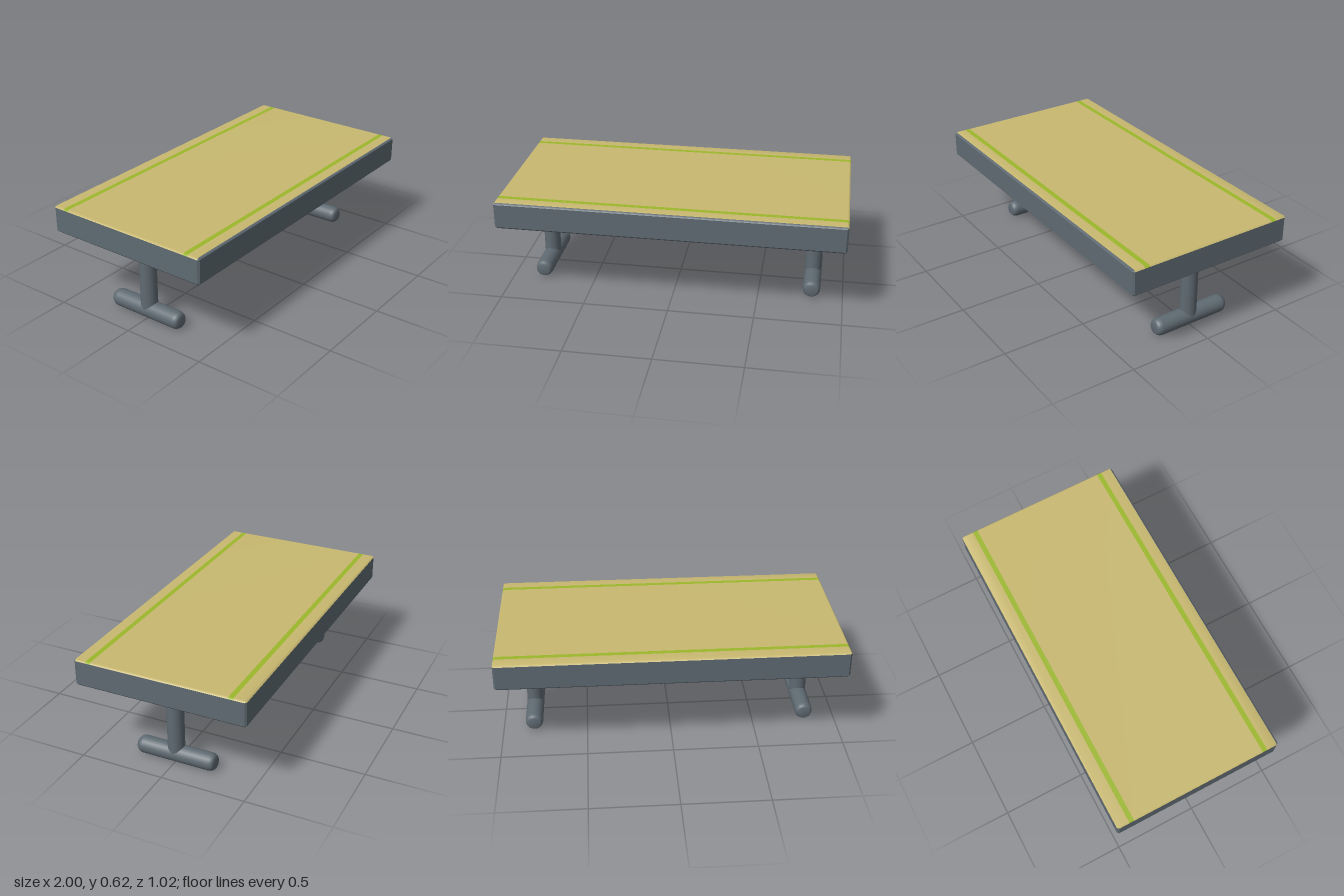
import * as THREE from 'three';

export function createModel() {
  const model = new THREE.Group();
  model.name = 'bench';
  const mat = (name, color) => {
    const m = new THREE.MeshStandardMaterial({ color });
    m.name = name;
    return m;
  };
  const grey = mat('slate grey', 0x5f6a72);
  const tan = mat('tan', 0xc8b870);
  const green = mat('lime green', 0x9cb82c);

  const add = (parent, name, geometry, material) => {
    const mesh = new THREE.Mesh(geometry, material);
    mesh.name = name;
    parent.add(mesh);
    return mesh;
  };

  const W = 1, D = 0.51, B = 0.01; // half width, half depth, chamfer
  const yBottom = 0.46, yTop = 0.62;

  // Slab body: chamfered outline extruded upward, flat on top below the panel
  const outline = new THREE.Shape([
    [-W + B, -D], [W - B, -D], [W, -D + B], [W, D - B],
    [W - B, D], [-W + B, D], [-W, D - B], [-W, -D + B],
  ].map(([x, y]) => new THREE.Vector2(x, y)));
  const bodyGeo = new THREE.ExtrudeGeometry(outline, {
    depth: yTop - yBottom - 2 * B, bevelEnabled: true, bevelSegments: 1,
    bevelThickness: B, bevelSize: B, bevelOffset: -B,
  });
  bodyGeo.rotateX(-Math.PI / 2).translate(0, yBottom + B, 0);
  const p = bodyGeo.attributes.position;
  for (let i = 0; i < p.count; i++) p.setY(i, Math.min(p.getY(i), yTop - B));
  bodyGeo.computeVertexNormals();
  add(model, 'slabBody', bodyGeo, grey);

  // Top panel: strips from back to front, sharing smooth normals with the chamfers
  const rows = [-D, -D + B, -0.437, -0.408, 0.408, 0.437, D - B, D];
  const stripColours = [0, 0, 1, 0, 1, 0, 2];
  const positions = [], index = [];
  const topGeo = new THREE.BufferGeometry();
  rows.forEach((z, r) => {
    const edge = r === 0 || r === rows.length - 1;
    const outer = edge ? W - B : W;
    const yMid = edge ? yTop - B : yTop;
    positions.push(-outer, yTop - B, z, -W + B, yMid, z, W - B, yMid, z, outer, yTop - B, z);
  });
  stripColours.forEach((colour, r) => {
    topGeo.addGroup(index.length, 18, colour);
    for (let c = 0; c < 3; c++) {
      const a = r * 4 + c;
      index.push(a, a + 4, a + 5, a, a + 5, a + 1);
    }
  });
  topGeo.setAttribute('position', new THREE.Float32BufferAttribute(positions, 3));
  topGeo.setIndex(index);
  topGeo.computeVertexNormals();
  add(model, 'topPanel', topGeo, [tan, green, grey]);

  // Legs: round post on a round foot with softened ends
  const R = 0.052, half = 0.239;
  const footProfile = [
    [0, -half], [0.034, -half], [0.044, -half + 0.01], [0.05, -half + 0.022], [R, -half + 0.036],
    [R, half - 0.036], [0.05, half - 0.022], [0.044, half - 0.01], [0.034, half], [0, half],
  ].map(([r, y]) => new THREE.Vector2(r, y));
  for (const side of [-1, 1]) {
    const leg = new THREE.Group();
    leg.name = side > 0 ? 'leftLeg' : 'rightLeg';
    leg.position.x = side * 0.815;
    const postHeight = yBottom + 0.005 - R;
    add(leg, 'post', new THREE.CylinderGeometry(0.049, 0.049, postHeight, 24, 1, true), grey)
      .position.y = R + postHeight / 2;
    const foot = add(leg, 'foot', new THREE.LatheGeometry(footProfile, 24), grey);
    foot.rotation.x = Math.PI / 2;
    foot.position.set(0, R, -0.007);
    model.add(leg);
  }
  return model;
}
